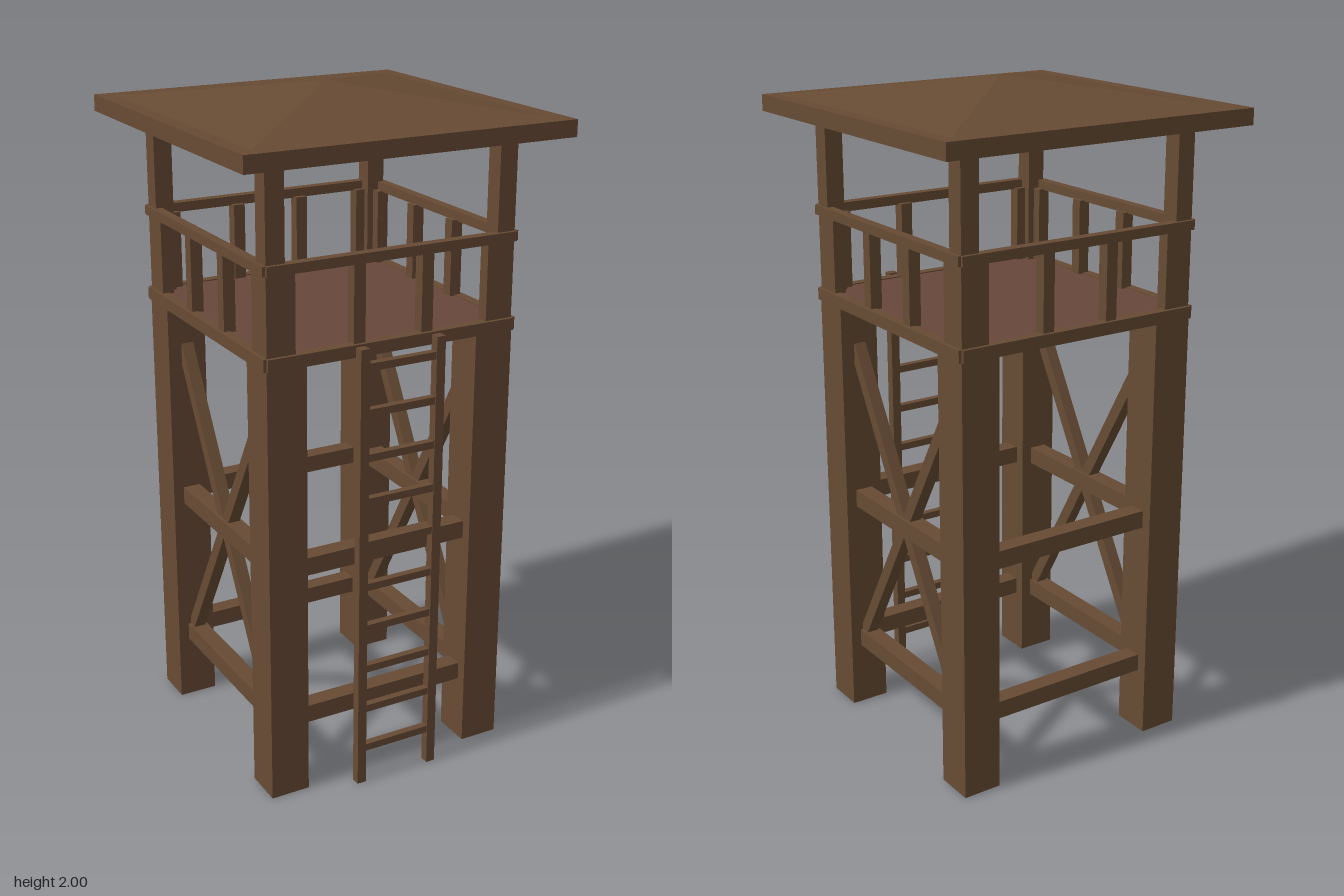
import * as THREE from 'three';

export function createModel() {
  const tower = new THREE.Group();
  tower.name = 'watchtower';
  const wood = new THREE.MeshStandardMaterial({ color: 0x674b34 });
  wood.name = 'brown wood';
  const floorWood = new THREE.MeshStandardMaterial({ color: 0x67483a });
  floorWood.name = 'reddish floor wood';

  // Box given by its size and centre
  const beam = (name, parent, [w, h, d], [x, y, z], material = wood) => {
    const mesh = new THREE.Mesh(new THREE.BoxGeometry(w, h, d), material);
    mesh.name = name;
    mesh.position.set(x, y, z);
    parent.add(mesh);
    return mesh;
  };

  // Legs and the slimmer posts that carry the roof
  for (const sx of [-1, 1]) {
    for (const sz of [-1, 1]) {
      beam('leg', tower, [0.12, 1.33, 0.12], [sx * 0.33, 0.665, sz * 0.33]);
      beam('roofPost', tower, [0.056, 0.53, 0.056], [sx * 0.36, 1.62, sz * 0.36]);
    }
  }

  // Floor of the lookout
  beam('floor', tower, [0.77, 0.03, 0.77], [0, 1.342, 0], floorWood);

  // Four sides: crossbeams, floor trim, handrail and balusters; braces left and right
  for (let i = 0; i < 4; i++) {
    const side = new THREE.Group();
    side.name = ['frontSide', 'leftSide', 'backSide', 'rightSide'][i];
    side.rotation.y = i * Math.PI / 2;
    tower.add(side);

    for (const y of [0.228, 0.708]) {
      beam('crossbeam', side, [0.56, 0.054, 0.054], [0, y, 0.33]);
    }
    beam('floorTrim', side, [0.78, 0.036, 0.03], [0, 1.342, 0.384]);
    beam('handrail', side, [0.78, 0.028, 0.03], [0, 1.598, 0.384]);
    for (const x of [-0.32, -0.107, 0.107, 0.32]) {
      beam('baluster', side, [0.036, 0.235, 0.036], [x, 1.47, 0.37]);
    }
    if (i % 2 === 1) {
      for (const s of [-1, 1]) {
        const brace = beam('diagonalBrace', side, [0.037, 1.13, 0.037], [0, 0.708, 0.33]);
        brace.rotation.z = s * Math.PI / 6;
      }
    }
  }

  // Ladder
  const ladder = new THREE.Group();
  ladder.name = 'ladder';
  tower.add(ladder);
  for (const s of [-1, 1]) {
    beam('ladderRail', ladder, [0.028, 1.36, 0.028], [s * 0.12, 0.68, 0.43]);
  }
  for (let i = 0; i < 10; i++) {
    beam('rung', ladder, [0.22, 0.022, 0.022], [0, 0.115 + i * 0.1323, 0.43]);
  }

  // Roof: square slab with a low, slightly blunted pyramid
  beam('roofSlab', tower, [1, 0.048, 1], [0, 1.906, 0]);
  const pyramid = new THREE.CylinderGeometry(0.02 * Math.SQRT2, 0.455 * Math.SQRT2, 0.07, 4)
    .toNonIndexed();
  pyramid.computeVertexNormals();
  const roof = new THREE.Mesh(pyramid, wood);
  roof.name = 'roofPyramid';
  roof.rotation.y = Math.PI / 4;
  roof.position.y = 1.965;
  tower.add(roof);

  return tower;
}
